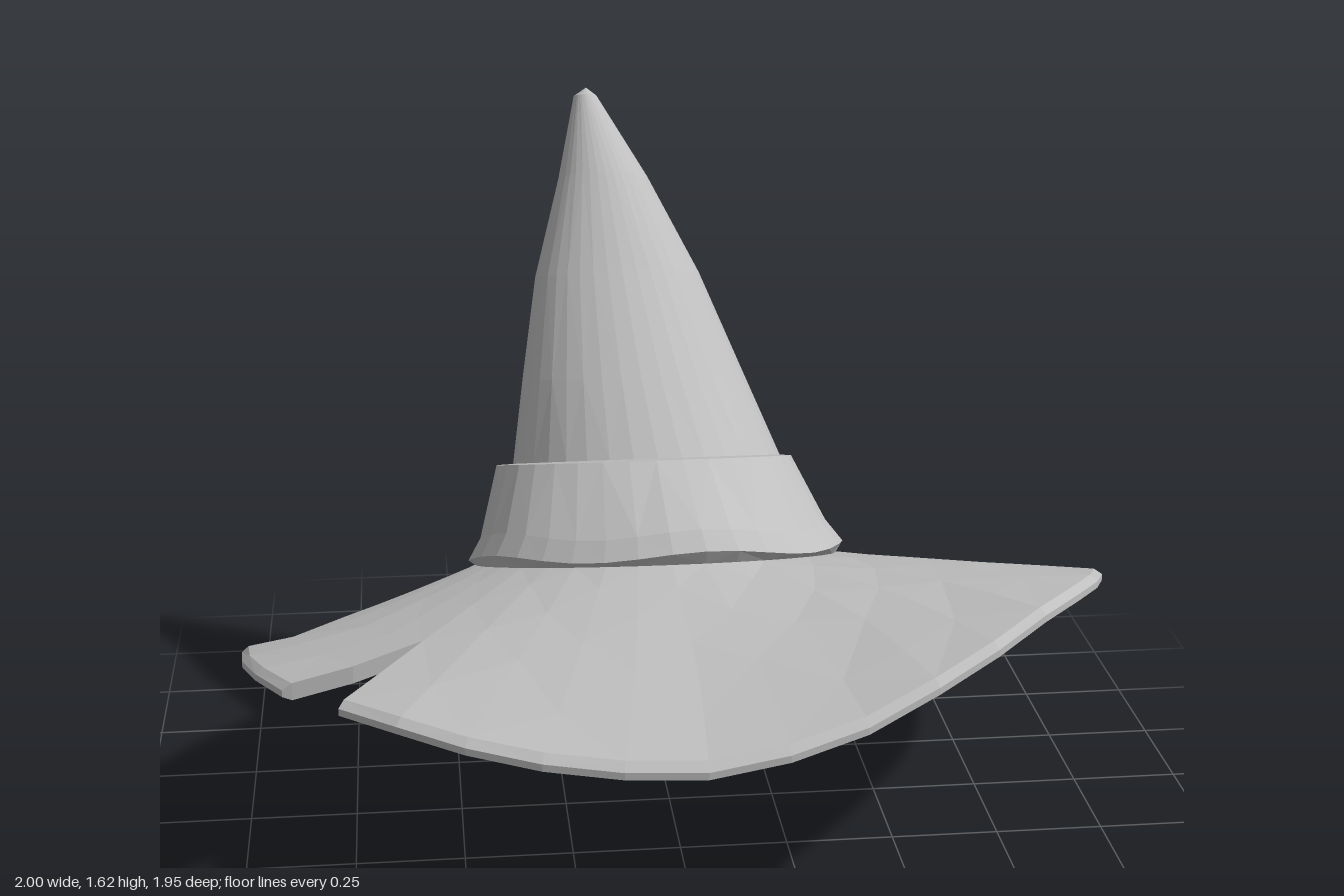
import * as THREE from 'three';

const COLS = 36;
const THICK = 0.04;
const rad = THREE.MathUtils.degToRad;
const lerp = THREE.MathUtils.lerp;

// Brim edge height every 15 degrees, from +x towards +z
const RIM_Y = [0.54, 0.66, 0.73, 0.745, 0.69, 0.61, 0.565, 0.565, 0.58, 0.595, 0.555, 0.515,
  0.445, 0.33, 0.22, 0.13, 0.07, 0.04, 0.045, 0.06, 0.11, 0.185, 0.27, 0.4];

// Tilted rings: [x min, x max, z back, z front, y back, y front]
const BASE = [-0.45, 0.41, -0.52, 0.26, 0.44, 0.715];
const BAND = [
  BASE,
  [-0.465, 0.425, -0.525, 0.275, 0.46, 0.74],
  [-0.435, 0.385, -0.52, 0.24, 0.52, 0.78],
  [-0.39, 0.315, -0.52, 0.075, 0.69, 0.897],
  [-0.35, 0.29, -0.515, 0.04, 0.69, 0.89],
];
const CROWN = [
  [-0.14, -0.14, -0.595, -0.595, 1.62, 1.62],
  [-0.17, -0.115, -0.622, -0.565, 1.59, 1.61],
  [-0.215, 0.0, -0.6, -0.43, 1.38, 1.45],
  [-0.28, 0.115, -0.56, -0.27, 1.15, 1.25],
  [-0.32, 0.21, -0.527, -0.09, 0.92, 1.04],
  BAND[4],
];

// Column angle; k opens the notch on the right side of the brim
function angleAt(j, k) {
  return rad(lerp(140 + 12.3 * k, 500 - 0.5 * k, j / COLS));
}

function ringPoint([x0, x1, z0, z1, y0, y1], a, scale = 1) {
  const c = scale * Math.cos(a), s = scale * Math.sin(a);
  return new THREE.Vector3(
    (x0 + x1) / 2 + ((x1 - x0) / 2) * c,
    (y0 + y1) / 2 + ((y1 - y0) / 2) * s,
    (z0 + z1) / 2 + ((z1 - z0) / 2) * s);
}

function ringRow(ring, { scale = 1, drop = 0, wrinkle = 0 } = {}) {
  return Array.from({ length: COLS + 1 }, (_, j) => {
    const a = angleAt(j, 0);
    const p = ringPoint(ring, a, scale);
    p.y += wrinkle * Math.sin(5 * a + 1) - drop;
    return p;
  });
}

function rimPoint(a) {
  const f = (THREE.MathUtils.radToDeg(a) / 15) % 24;
  const i = Math.floor(f);
  const y = lerp(RIM_Y[i], RIM_Y[(i + 1) % 24], f - i);
  return new THREE.Vector3(Math.cos(a), y, 0.975 * Math.sin(a) - 0.003);
}

// One brim row, t = 0 at the crown and 1 at the edge; the back flares most
function brimRow(t, drop = 0) {
  const k = Math.max(0, (t - 0.55) / 0.45);
  return Array.from({ length: COLS + 1 }, (_, j) => {
    const a = angleAt(j, k);
    const p = ringPoint(BASE, a);
    const rim = rimPoint(a);
    const y = lerp(p.y, rim.y, 1 - Math.pow(1 - t, 1.35 - 0.4 * Math.sin(a)));
    p.lerp(rim, t);
    p.y = y - drop;
    return p;
  });
}

// Faceted skin over rows of points
function skin(rows) {
  const pos = [];
  const tri = (...pts) => pts.forEach((p) => pos.push(p.x, p.y, p.z));
  for (let i = 0; i + 1 < rows.length; i++) {
    for (let j = 0; j + 1 < rows[i].length; j++) {
      const a = rows[i][j], b = rows[i][j + 1], c = rows[i + 1][j], d = rows[i + 1][j + 1];
      if ((i + j) % 2) {
        tri(a, b, c);
        tri(b, d, c);
      } else {
        tri(a, b, d);
        tri(a, d, c);
      }
    }
  }
  const geo = new THREE.BufferGeometry();
  geo.setAttribute('position', new THREE.Float32BufferAttribute(pos, 3));
  geo.computeVertexNormals();
  return geo;
}

export function createModel() {
  const felt = new THREE.MeshStandardMaterial({ color: 0xbfbfbf });
  felt.name = 'grey felt';
  const hat = new THREE.Group();
  hat.name = 'pointedHat';
  const add = (name, rows) => {
    const mesh = new THREE.Mesh(skin(rows), felt);
    mesh.name = name;
    hat.add(mesh);
  };

  // Leaning cone and the band around its foot
  add('crown', CROWN.map((r) => ringRow(r)));
  const wrinkles = [0, 0.01, 0.01, 0, 0];
  add('band', BAND.map((r, i) => ringRow(r, { wrinkle: wrinkles[i] })).reverse());

  // Brim: top, edge and underside
  const steps = [0, 0.12, 0.28, 0.42, 0.55, 0.78, 0.97, 1];
  const top = steps.map((t) => brimRow(t, t === 1 ? 0.012 : 0));
  const under = steps.map((t) => brimRow(t, t === 1 ? THICK - 0.012 : THICK));
  add('brim', [...top, ...under.slice().reverse()]);

  // Cut faces of the notch
  const first = 4;
  const edge = (rows, j) => rows.slice(first).map((r) => r[j]);
  add('notchFaceBack', [edge(top, 0), edge(under, 0)]);
  add('notchFaceFront', [edge(top, COLS).reverse(), edge(under, COLS).reverse()]);

  // Shallow domed floor closing the underside
  add('floor', [
    under[0],
    ringRow(BASE, { scale: 0.6, drop: 0.025 }),
    ringRow(BASE, { scale: 0, drop: 0.015 }),
  ]);

  return hat;
}
